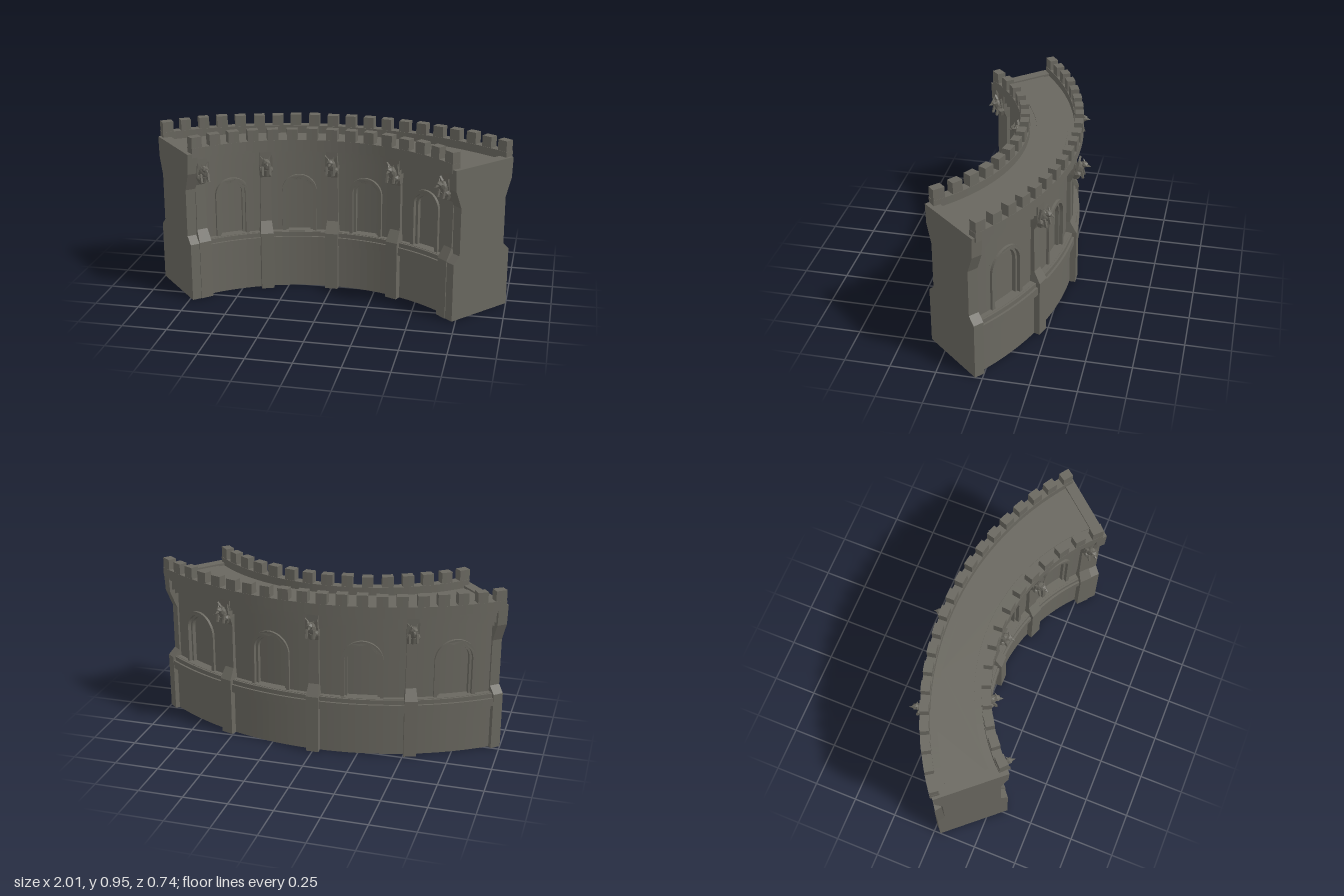
import * as THREE from 'three';

const stone = new THREE.MeshStandardMaterial({ color: 0x69675f });
stone.name = 'weathered stone';

// The two curved faces: radius R about (0, c); s runs along the face, d points out of it
const FRONT = { name: 'front', R: 0.97, c: 1.0, dir: -1, posts: [-0.728, -0.364, 0, 0.364, 0.728], ends: 0.79, win: 0.092, merlons: 15 };
const BACK = { name: 'back', R: 1.64, c: 1.32, dir: 1, posts: [-1.06, -0.55, 0, 0.55, 1.06], ends: 1.07, win: 0.122, merlons: 20 };

let seed = 7;
const rand = () => (seed = (seed * 16807) % 2147483647) / 2147483647;
const val = (f, s) => (typeof f === 'function' ? f(s) : f);
const lerp = THREE.MathUtils.lerp;

function bend(side, s, y, d) {
  const a = s / side.R, r = side.R + side.dir * d;
  return new THREE.Vector3(-side.dir * r * Math.sin(a), y, side.c - r * Math.cos(a));
}

function mesh(name, geo) {
  const g = geo.index ? geo.toNonIndexed() : geo;
  g.computeVertexNormals();
  const m = new THREE.Mesh(g, stone);
  m.name = name;
  return m;
}

function remap(geo, fn) {
  const p = geo.attributes.position;
  for (let i = 0; i < p.count; i++) {
    const v = fn(p.getX(i), p.getY(i), p.getZ(i));
    p.setXYZ(i, v.x, v.y, v.z);
  }
  return geo;
}

// Curved slab between s0..s1, lo..hi and depths d0..d1
function strip(side, name, s0, s1, lo, hi, d0, d1, n = Math.max(1, Math.ceil((s1 - s0) / 0.04))) {
  return mesh(name, remap(new THREE.BoxGeometry(1, 1, 1, n, 1, 1), (x, y, z) => {
    const s = lerp(s0, s1, x + 0.5);
    return bend(side, s, lerp(val(lo, s), val(hi, s), y + 0.5), lerp(d0, d1, z + 0.5));
  }));
}

// Buttress with stepped and sloping profile: [y, depth, half width]
function buttress(side, s) {
  const levels = [[0, 0, 0.036], [0.335, 0, 0.036], [0.4, -0.038, 0.03], [0.66, -0.042, 0.028], [0.71, -0.02, 0.032], [0.83, -0.015, 0.032]];
  return mesh(side.name + 'Buttress', remap(new THREE.BoxGeometry(1, 1, 1, 1, levels.length - 1, 1), (x, y, z) => {
    const [h, d, w] = levels[Math.round((y + 0.5) * (levels.length - 1))];
    return bend(side, s + x * 2 * w, h, z > 0 ? d : -0.1);
  }));
}

// Horseshoe moulding around a window
function archRing(side, name, s, w, wi, spring, d) {
  const sh = new THREE.Shape();
  sh.moveTo(-w, 0.335);
  sh.lineTo(-w, spring);
  sh.absarc(0, spring, w, Math.PI, 0, true);
  sh.lineTo(w, 0.335);
  sh.lineTo(wi, 0.335);
  sh.lineTo(wi, spring);
  sh.absarc(0, spring, wi, 0, Math.PI, false);
  sh.lineTo(-wi, 0.335);
  const geo = new THREE.ExtrudeGeometry(sh, { depth: d + 0.1, bevelEnabled: false, curveSegments: 14 });
  return mesh(name, remap(geo, (x, y, z) => bend(side, s + x, y, z - 0.1)));
}

// One bay: wall around an arched niche, mouldings and the vaulting arch above
function bay(side, s0, s1) {
  const g = new THREE.Group();
  g.name = side.name + 'Bay';
  const mid = (s0 + s1) / 2, w = side.win, spring = 0.668 - w, half = (s1 - s0) / 2;
  const crown = s => spring + Math.sqrt(Math.max(0, w * w - (s - mid) ** 2));
  const vault = (spr, rise) => s => spr + rise * Math.sqrt(Math.max(0, 1 - ((s - mid) / half) ** 2));
  g.add(
    strip(side, 'wallLeft', s0, mid - w + 0.008, 0.33, 0.83, -0.1, -0.062),
    strip(side, 'wallRight', mid + w - 0.008, s1, 0.33, 0.83, -0.1, -0.062),
    strip(side, 'wallAbove', mid - w, mid + w, crown, 0.83, -0.1, -0.062, 18),
    archRing(side, 'windowFrame', mid, w, w - 0.02, spring, -0.047),
    archRing(side, 'windowInnerFrame', mid, w - 0.018, w - 0.034, spring, -0.068),
    strip(side, 'archInner', s0, s1, vault(0.69, 0.075), 0.83, -0.09, -0.042, 20),
    strip(side, 'archOuter', s0, s1, vault(0.715, 0.077), 0.83, -0.09, -0.025, 20),
  );
  return g;
}

// Winged beast crouching on a buttress, facing +z
function gargoyle(side, s) {
  const g = new THREE.Group();
  g.name = side.name + 'Gargoyle';
  const put = (name, geo, x, y, z, rx = 0, rz = 0) => {
    const m = mesh(name, geo);
    m.position.set(x, y, z);
    m.rotation.set(rx, 0, rz);
    g.add(m);
  };
  put('corbel', new THREE.CylinderGeometry(0.036, 0.018, 0.04, 6), 0, -0.045, 0.005);
  put('body', new THREE.IcosahedronGeometry(1, 1).scale(0.027, 0.045, 0.027), 0, 0, 0.02, 0.45);
  put('head', new THREE.IcosahedronGeometry(1, 0).scale(0.02, 0.019, 0.022), 0, 0.026, 0.052);
  put('snout', new THREE.ConeGeometry(0.013, 0.034, 5), 0, 0.018, 0.073, Math.PI / 2 + 0.25);
  for (const k of [-1, 1]) {
    put('ear', new THREE.ConeGeometry(0.007, 0.028, 4), k * 0.014, 0.046, 0.045, -0.4, -k * 0.4);
    put('arm', new THREE.BoxGeometry(0.011, 0.05, 0.013), k * 0.021, -0.025, 0.042, -0.25);
    put('haunch', new THREE.IcosahedronGeometry(1, 0).scale(0.014, 0.02, 0.022), k * 0.026, -0.025, 0.018);
    const wing = new THREE.Shape();
    wing.moveTo(0, -0.03);
    wing.lineTo(k * 0.036, -0.005);
    wing.lineTo(k * 0.034, 0.06);
    wing.lineTo(k * 0.014, 0.035);
    put('wing', new THREE.ExtrudeGeometry(wing, { depth: 0.012, bevelEnabled: false }), 0, 0, 0.008, 0.15);
  }
  const p = bend(side, s, 0.74, -0.022), out = bend(side, s, 0.74, 0.1).sub(p);
  g.position.copy(p);
  g.rotation.y = Math.atan2(out.x, out.z);
  return g;
}

// Everything on one curved face
function facade(side) {
  const g = new THREE.Group();
  g.name = side.name + 'Facade';
  const e = side.ends, inner = e - 0.03;
  g.add(
    strip(side, 'baseWall', -inner, inner, 0, 0.335, -0.1, -0.035),
    strip(side, 'ledge', -inner, inner, 0.262, 0.308, -0.06, -0.012),
    strip(side, 'ledgeCap', -inner, inner, 0.3, 0.333, -0.06, -0.024),
    strip(side, 'cornice', -inner, inner, 0.815, 0.84, -0.1, -0.012),
    strip(side, 'parapet', -e, e, 0.832, 0.885, -0.052, 0),
  );
  for (let i = 0; i < 4; i++) g.add(bay(side, side.posts[i], side.posts[i + 1]));
  side.posts.forEach((s, i) => {
    if (side === BACK && i % 4 === 0) return; // end piers take the place of these
    g.add(buttress(side, s), gargoyle(side, s));
  });
  // Slightly uneven battlements
  const pitch = (2 * e) / (side.merlons - 0.4);
  for (let i = 0; i < side.merlons; i++) {
    const s = -e + i * pitch, w = pitch * 0.6;
    g.add(strip(side, 'merlon', s + rand() * 0.004, s + w - rand() * 0.004, 0.87, 0.943 + rand() * 0.007, -0.05, -0.001, 2));
  }
  return g;
}

// End pier across the wall, narrow in the middle and flared at the top: [y, inset]
function endPier(k) {
  const levels = [[0, 0], [0.33, 0], [0.37, 0.042], [0.64, 0.042], [0.74, 0.002], [0.855, -0.004]];
  const outer = new THREE.Vector3(1, 0, 0.038), inn = new THREE.Vector3(0.73, 0, 0.347);
  const e = inn.clone().sub(outer).normalize(), t = new THREE.Vector3(-e.z, 0, e.x);
  return mesh('endPier', remap(new THREE.BoxGeometry(1, 1, 1, 1, levels.length - 1, 1), (x, y, z) => {
    const [h, inset] = levels[Math.round((y + 0.5) * (levels.length - 1))];
    const fromOuter = x * k < 0;
    const v = (fromOuter ? outer : inn).clone().addScaledVector(e, fromOuter ? inset : -inset);
    v.addScaledVector(t, (z + 0.5) * 0.06);
    return new THREE.Vector3(k * v.x, h, v.z);
  }));
}

// Solid heart of the wall, giving deck, underside and niche backs
function core() {
  const pts = [];
  const arc = (r, c, a0, a1) => {
    for (let i = 0; i <= 48; i++) {
      const a = THREE.MathUtils.degToRad(lerp(a0, a1, i / 48));
      pts.push(new THREE.Vector2(r * Math.sin(a), r * Math.cos(a) - c));
    }
  };
  arc(FRONT.R + 0.09, FRONT.c, -46.5, 46.5);
  arc(BACK.R - 0.09, BACK.c, 37.4, -37.4);
  const geo = new THREE.ExtrudeGeometry(new THREE.Shape(pts), { depth: 0.845, bevelEnabled: false });
  return mesh('wallCoreAndDeck', geo.rotateX(-Math.PI / 2));
}

export function createModel() {
  const model = new THREE.Group();
  model.name = 'curvedCastleWall';
  model.add(core(), facade(FRONT), facade(BACK), endPier(1), endPier(-1));
  return model;
}
